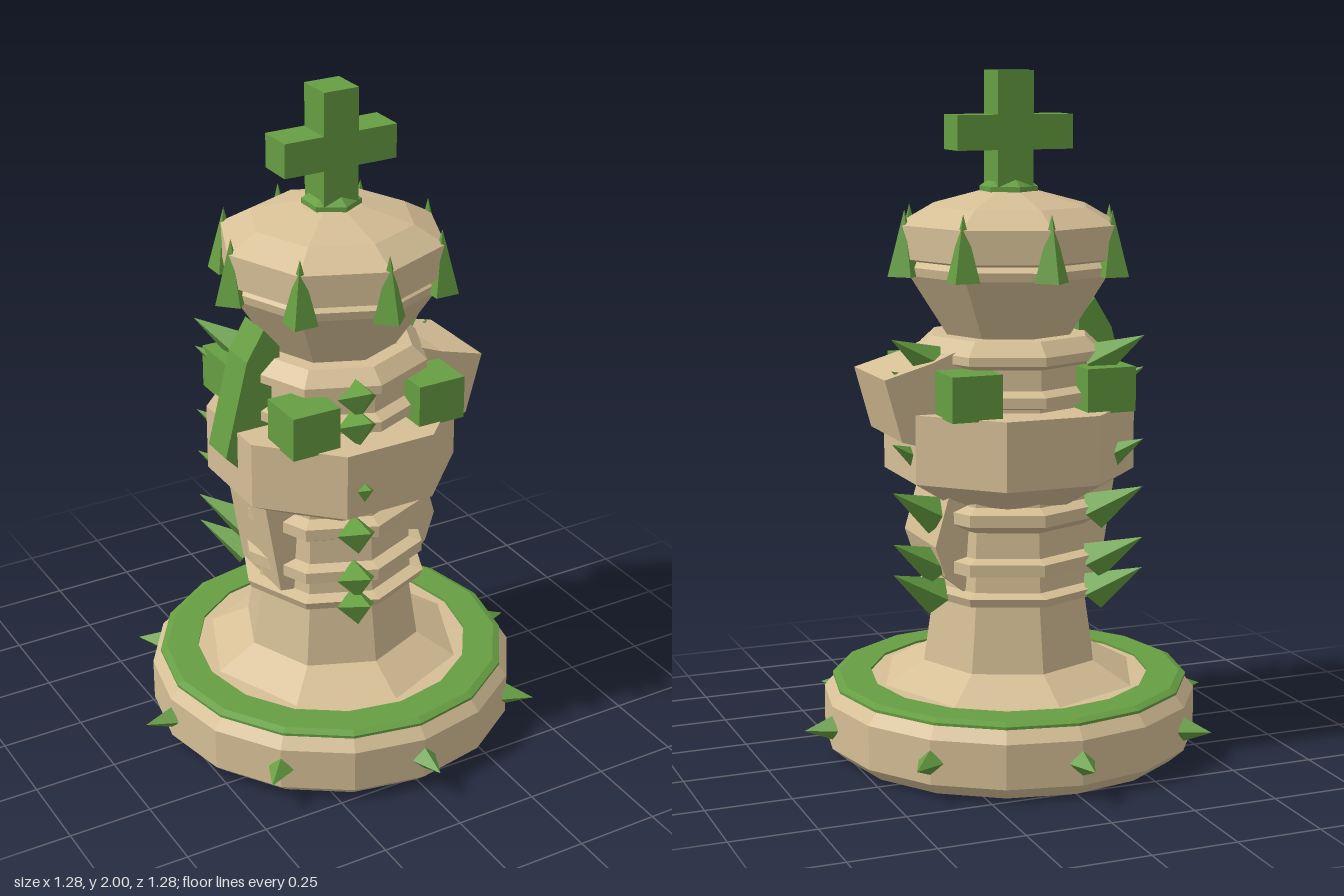
import * as THREE from 'three';

export function createModel() {
  const model = new THREE.Group();
  const stone = new THREE.MeshStandardMaterial({ color: 0xd6bf96, flatShading: true });
  stone.name = 'sandstone';
  const green = new THREE.MeshStandardMaterial({ color: 0x669e42, flatShading: true });
  green.name = 'leaf green';

  const add = (name, geometry, material, parent = model) => {
    const mesh = new THREE.Mesh(geometry, material);
    mesh.name = name;
    parent.add(mesh);
    return mesh;
  };
  const points = (list) => list.map(([x, y]) => new THREE.Vector2(x, y));
  const turned = (name, profile, sides, material) =>
    add(name, new THREE.LatheGeometry(points(profile), sides), material);
  const slab = (name, outline, depth, material) => {
    const geometry = new THREE.ExtrudeGeometry(new THREE.Shape(points(outline)),
      { depth, bevelEnabled: false });
    return add(name, geometry.translate(0, 0, -depth / 2), material);
  };
  // Four-sided spike starting at radius r and height y, leaning outward by tilt
  const spike = (name, angle, r, y, tilt, size, length) => {
    const arm = new THREE.Group();
    arm.name = name + 'Arm';
    arm.rotation.y = angle;
    model.add(arm);
    const cone = new THREE.ConeGeometry(size, length, 4).translate(0, length / 2, 0);
    const mesh = add(name, cone, green, arm);
    mesh.position.set(r, y, 0);
    mesh.rotation.z = -tilt;
  };

  // Wide foot with its green rim
  turned('base', [[0, 0], [0.51, 0], [0.555, 0.04], [0.555, 0.17], [0.525, 0.205], [0, 0.205]], 16, stone);
  turned('baseRim', [[0.415, 0.2], [0.53, 0.205], [0.53, 0.213], [0.51, 0.222], [0.415, 0.222], [0.415, 0.2]], 16, green);
  turned('baseTop', [[0.415, 0.215], [0, 0.222]], 16, stone);

  // Eight-sided stem with stacked rings
  turned('stem', [
    [0.39, 0.215], [0.27, 0.28], [0.24, 0.475], [0.275, 0.48], [0.285, 0.505], [0.245, 0.515],
    [0.24, 0.565], [0.28, 0.57], [0.28, 0.605], [0.24, 0.615], [0.235, 0.69], [0.28, 0.715],
    [0.28, 0.75], [0.24, 0.765], [0.24, 1.05], [0.285, 1.06], [0.285, 1.09], [0.25, 1.105],
    [0.25, 1.165], [0.285, 1.18], [0.285, 1.205], [0.24, 1.245], [0, 1.25],
  ], 8, stone);

  // Broad collar, turned so that flat sides face the axes
  turned('collar', [[0, 0.765], [0.24, 0.765], [0.368, 0.84], [0.368, 1.04], [0, 1.04]], 8, stone)
    .rotation.y = Math.PI / 8;

  // Flared head and dome
  turned('head', [
    [0, 1.22], [0.185, 1.235], [0.305, 1.42], [0.31, 1.445], [0.29, 1.46], [0.33, 1.47],
    [0.33, 1.565], [0.24, 1.615], [0.09, 1.655], [0, 1.66],
  ], 8, stone);

  // Cross and its foot
  turned('crossFoot', [[0, 1.645], [0.085, 1.65], [0.085, 1.67], [0.055, 1.69], [0, 1.69]], 6, green);
  slab('cross', [
    [-0.055, 1.67], [0.055, 1.67], [0.055, 1.775], [0.178, 1.775], [0.178, 1.875], [0.055, 1.875],
    [0.055, 2], [-0.055, 2], [-0.055, 1.875], [-0.178, 1.875], [-0.178, 1.775], [-0.055, 1.775],
  ], 0.11, green);

  // Battlement blocks on the collar
  for (const x of [-1, 1]) for (const z of [-1, 1]) {
    add('battlement', new THREE.BoxGeometry(0.15, 0.13, 0.15), green)
      .position.set(x * 0.205, 1.1, z * 0.205);
  }

  // Rough slabs growing out of the sides
  slab('leftUpperRock', [[0.05, 1.02], [0.28, 0.935], [0.38, 0.965], [0.43, 1.145], [0.29, 1.185], [0.05, 1.28]], 0.28, stone);
  slab('leftLowerRock', [[0.05, 0.6], [0.17, 0.49], [0.25, 0.56], [0.28, 0.65], [0.24, 0.79], [0.05, 0.8]], 0.27, stone);
  slab('rightLowerRock', [[-0.1, 0.6], [-0.1, 0.85], [-0.295, 0.86], [-0.24, 0.52], [-0.18, 0.51]], 0.24, stone);
  slab('rightLeafSlab', [[-0.2, 1.28], [-0.25, 1.34], [-0.305, 1.25], [-0.377, 0.965], [-0.315, 0.9], [-0.2, 1.1]], 0.11, green);

  // Upright crown spikes and outward foot spikes
  for (let i = 0; i < 8; i++) {
    const angle = i * Math.PI / 4;
    spike('crownSpike', angle, 0.32, 1.42, 0, 0.052, 0.19);
    spike('footSpike', angle, 0.55, 0.105, Math.PI / 2, 0.038, 0.09);
  }

  // Three columns of thorns up the stem
  for (let column = 0; column < 3; column++) {
    const angle = THREE.MathUtils.degToRad(16 + column * 120);
    for (const y of [0.49, 0.58, 0.73, 0.87, 1.08, 1.17]) {
      spike('thorn', angle, 0.265, y, 1.06, 0.057, 0.175);
    }
  }
  return model;
}
